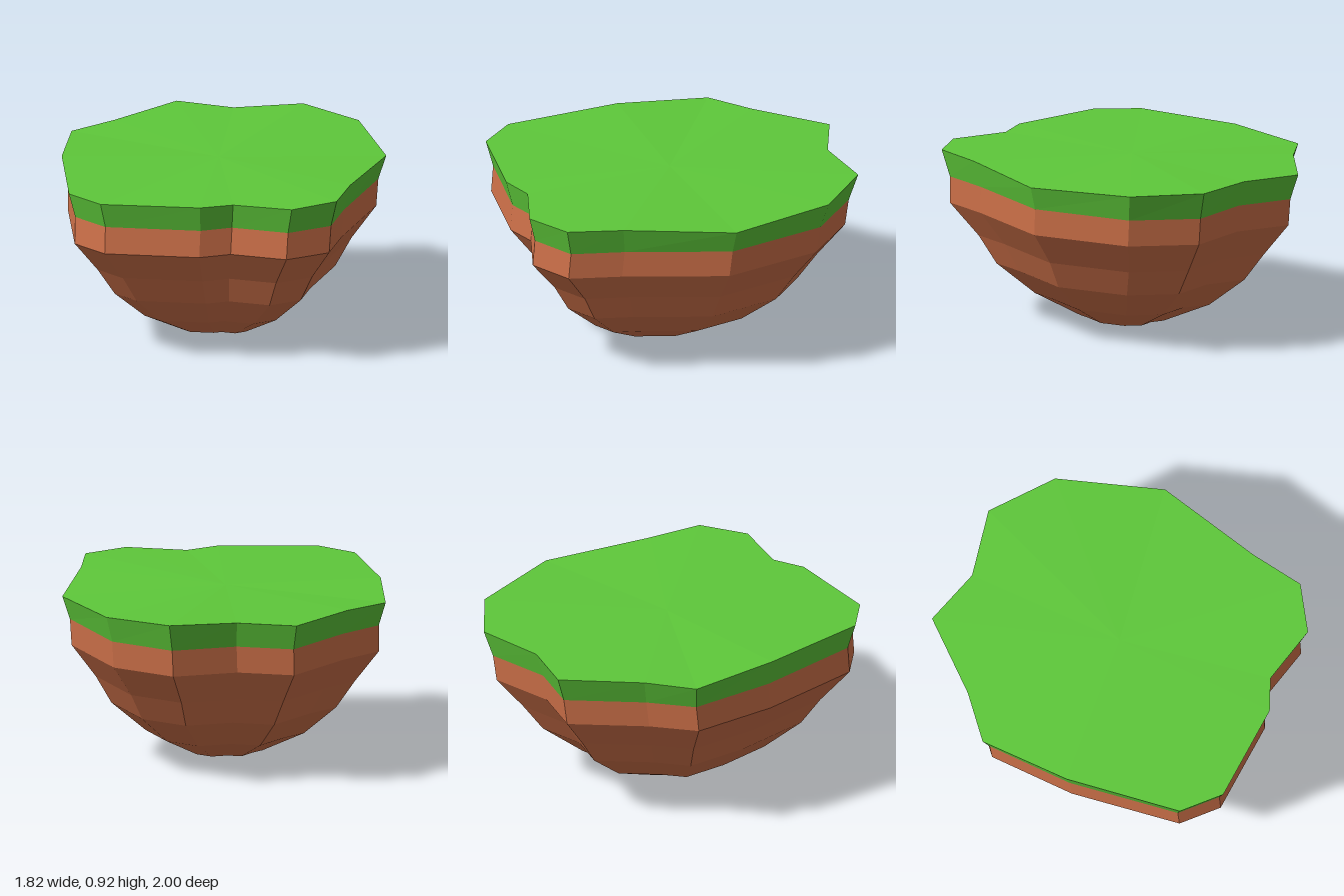
import * as THREE from 'three';

// Rim outline seen from above: x, z, rim height
const rim = [
  [0, -1, 0.917], [0.38, -0.89, 0.91], [0.76, -0.45, 0.895], [0.84, 0.14, 0.912], [0.905, 0.43, 0.915],
  [0.75, 0.65, 0.91], [0.43, 0.7, 0.905], [0.3, 0.83, 0.908], [-0.2, 1, 0.905], [-0.43, 0.91, 0.905],
  [-0.74, 0.37, 0.915], [-0.91, -0.09, 0.897], [-0.78, -0.34, 0.905], [-0.63, -0.77, 0.908], [-0.31, -0.8, 0.908],
];

// A ring is the outline scaled, shifted and set at a height
const ring = (scale, y, dx = 0, dz = 0) =>
  rim.map(([x, z]) => [x * scale + dx, y, z * scale + dz]);

// Joins consecutive rings (top to bottom) and closes the ends with fans
function loft(rings, topPoint, bottomPoint) {
  const pos = [];
  const tri = (...points) => points.forEach((p) => pos.push(...p));
  const n = rim.length;
  for (let i = 0; i < n; i++) {
    const j = (i + 1) % n;
    for (let k = 0; k + 1 < rings.length; k++) {
      const up = rings[k], low = rings[k + 1];
      tri(up[i], up[j], low[j]);
      tri(up[i], low[j], low[i]);
    }
    if (topPoint) tri(topPoint, rings[0][j], rings[0][i]);
    const last = rings[rings.length - 1];
    if (bottomPoint) tri(last[i], last[j], bottomPoint);
  }
  const geo = new THREE.BufferGeometry();
  geo.setAttribute('position', new THREE.Float32BufferAttribute(pos, 3));
  geo.computeVertexNormals();
  return geo;
}

function part(name, geometry, color) {
  const mesh = new THREE.Mesh(geometry, new THREE.MeshStandardMaterial({ color, flatShading: true }));
  mesh.name = name;
  return mesh;
}

export function createModel() {
  const island = new THREE.Group();
  island.name = 'floatingIsland';

  const top = rim.map(([x, z, y]) => [x, y, z]);
  const seam = ring(0.955, 0.77, 0, 0.005);

  // Grass cap with a flared edge
  island.add(part('grass', loft([top, seam], [0, 0.91, 0]), 0x5ec83a));

  // Earth: a short upright band, then a bowl narrowing to a blunt tip
  const earth = [
    seam,
    ring(0.95, 0.625, 0, 0.02),
    ring(0.8, 0.45, 0, 0.015),
    ring(0.695, 0.3, 0.01, 0.02),
    ring(0.49, 0.14, 0.01, 0.03),
    ring(0.235, 0.02, 0.02, 0.05),
  ];
  island.add(part('earth', loft(earth, null, [0.03, 0, 0.06]), 0xd0724a));

  return island;
}
